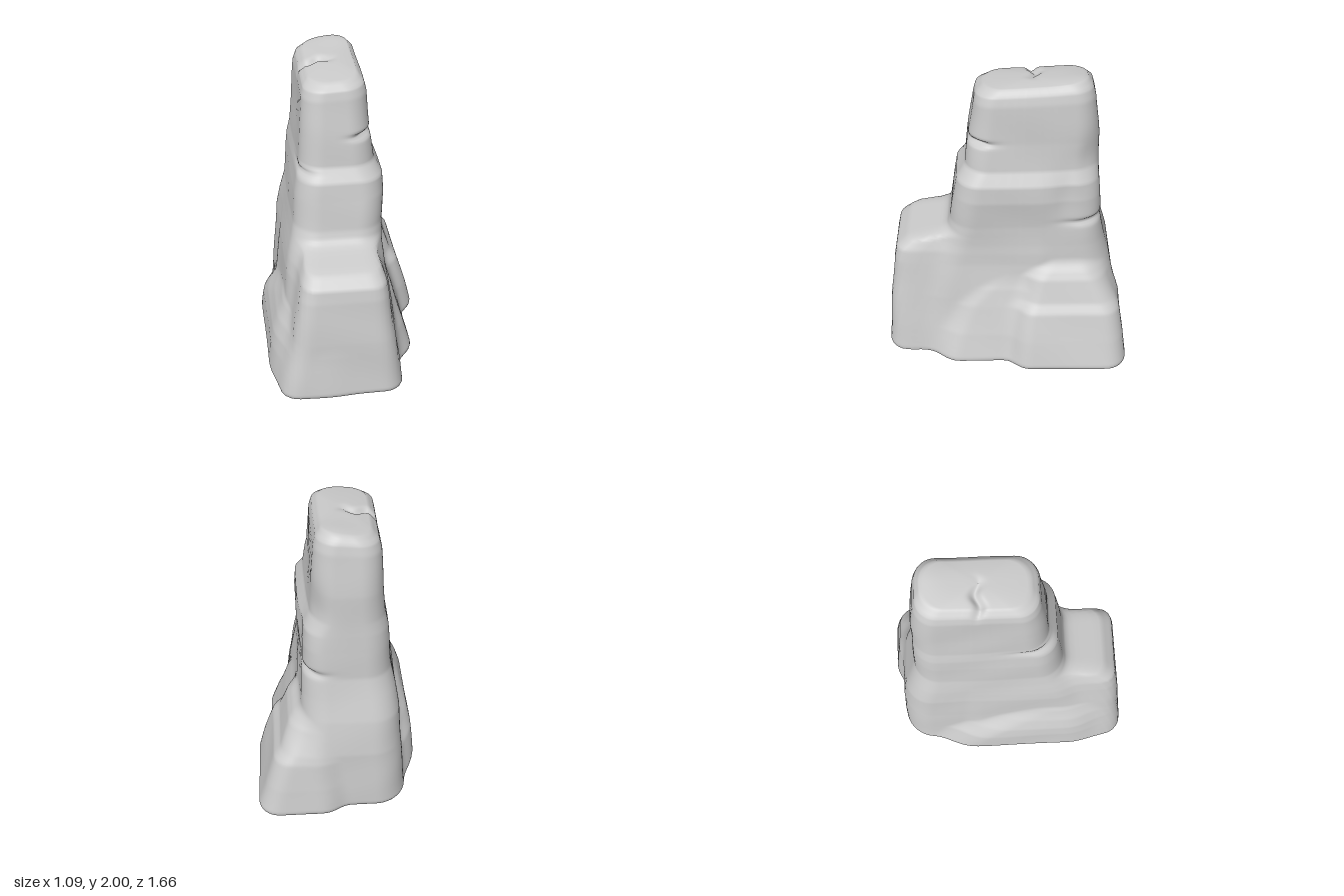
import * as THREE from 'three';

// Each mass is a stack of rounded rectangles: [y, xMin, xMax, zMin, zMax]
const tower = { corner: 0.21, rows: [
  [0, -0.46, 0.35, -0.765, 0.62], [0.45, -0.415, 0.285, -0.745, 0.57], [0.7, -0.40, 0.245, -0.705, 0.49],
  [0.85, -0.375, 0.24, -0.668, 0.43], [1.0, -0.345, 0.24, -0.632, 0.375], [1.2, -0.33, 0.255, -0.62, 0.34],
  [1.32, -0.315, 0.245, -0.615, 0.322], [1.41, -0.295, 0.195, -0.61, 0.265], [1.6, -0.28, 0.17, -0.6, 0.24],
  [1.86, -0.265, 0.15, -0.57, 0.205], [1.92, -0.25, 0.135, -0.555, 0.19], [1.96, -0.21, 0.1, -0.52, 0.14]] };
const frontStep = { corner: 0.13, rows: [
  [0, -0.5, 0.33, -0.3, 0.825], [0.4, -0.41, 0.27, -0.3, 0.79], [0.7, -0.36, 0.225, -0.3, 0.755],
  [0.79, -0.34, 0.21, -0.3, 0.735], [0.86, -0.31, 0.185, -0.3, 0.65], [0.91, -0.28, 0.17, -0.3, 0.43],
  [1.0, -0.2, 0.1, -0.3, 0.2]] };
const leftButtress = { corner: 0.14, rows: [
  [0, -0.02, 0.545, -0.83, -0.03], [0.2, 0, 0.49, -0.805, -0.05], [0.4, 0.03, 0.43, -0.77, -0.08],
  [0.46, 0.05, 0.385, -0.745, -0.11], [0.62, 0.06, 0.325, -0.66, -0.15], [0.67, 0.06, 0.285, -0.62, -0.2],
  [0.74, 0.06, 0.18, -0.55, -0.3]] };
const leftSkirt = { corner: 0.15, rows: [
  [0, 0, 0.45, -0.4, 0.48], [0.2, 0, 0.395, -0.4, 0.42], [0.4, 0, 0.325, -0.4, 0.32],
  [0.52, 0, 0.275, -0.4, 0.2], [0.62, 0, 0.2, -0.4, 0.08]] };
const rightSkirt = { corner: 0.38, rows: [
  [0, -0.55, 0.2, -0.62, 0.8], [0.2, -0.535, 0.2, -0.5, 0.77], [0.3, -0.515, 0.2, -0.36, 0.75],
  [0.4, -0.475, 0.2, -0.18, 0.71], [0.5, -0.41, 0.2, 0.02, 0.63], [0.58, -0.28, 0.1, 0.15, 0.45]] };
const masses = [tower, frontStep, leftButtress, leftSkirt, rightSkirt];

const CX = -0.05, CZ = -0.17, TOP = 1.96;
const bump = (d, w) => Math.exp(-(d * d) / (w * w));

function sectionAt({ rows }, y) {
  if (y > rows[rows.length - 1][0]) return null;
  let i = 0;
  while (i < rows.length - 2 && y > rows[i + 1][0]) i++;
  const t = (y - rows[i][0]) / (rows[i + 1][0] - rows[i][0]);
  return rows[i].map((v, k) => THREE.MathUtils.lerp(v, rows[i + 1][k], t));
}

// Distance to a rounded rectangle, its corners tightening with height
function rectDistance(x, z, [y, x0, x1, z0, z1], corner) {
  const hx = (x1 - x0) / 2, hz = (z1 - z0) / 2, r = Math.min(corner - 0.04 * y, hx, hz);
  const dx = Math.abs(x - (x0 + x1) / 2) - hx + r, dz = Math.abs(z - (z0 + z1) / 2) - hz + r;
  return Math.hypot(Math.max(dx, 0), Math.max(dz, 0)) + Math.min(Math.max(dx, dz), 0) - r;
}

function smoothMin(a, b, k) {
  const h = Math.max(k - Math.abs(a - b), 0) / k;
  return Math.min(a, b) - h * h * k / 4;
}

// Radius of the blended masses in one direction at one height
function radiusAt(sections, y, dx, dz) {
  let r = 1.3;
  for (let n = 0; n < 150; n++) {
    const x = CX + dx * r, z = CZ + dz * r;
    let d = 10;
    for (const [s, corner] of sections) d = smoothMin(d, rectDistance(x, z, s, corner), 0.08);
    if (d < 0.0005) break;
    r -= d * 0.95;
  }
  const x = CX + dx * r, z = CZ + dz * r;
  // Weathered notches and hollows
  r -= 0.055 * bump(y - 1.6, 0.018) * bump(x - 0.16, 0.1) * bump(z - 0.22, 0.12);
  r -= 0.035 * bump(y - 1.03, 0.022) * bump(x - 0.22, 0.12) * bump(z + 0.58, 0.16);
  r -= 0.045 * bump(y - 1.2, 0.2) * bump(x - 0.25, 0.1) * bump(z + 0.45, 0.15);
  r -= 0.04 * bump(y - 1.48, 0.16) * bump(x - 0.18, 0.12) * bump(z + 0.58, 0.16);
  r -= 0.025 * bump(y - 1.37, 0.015) * bump(x + 0.3, 0.1) * bump(z - 0.2, 0.15);
  return r + 0.005 * Math.sin(5 * x + 9 * y) * Math.sin(7 * z - 4 * y);
}

// Tilts the summit, lifts its back edge and cuts the crack across it
function summitY(x, y, z) {
  const s = Math.max(0, (y - 1.5) / 0.46);
  const crack = 0.03 * bump(z + 0.18 + 0.015 * Math.sin(40 * x), 0.03) * THREE.MathUtils.smoothstep(-x, -0.02, 0.15);
  const lift = 0.015 * bump(z + 0.48, 0.12) * bump(x - 0.03, 0.15);
  return y + s * (-(z + 0.17) * 0.05 + (x + 0.05) * 0.06) + s ** 4 * (lift - crack);
}

function createRock() {
  const SEG = 180, LEVELS = 150, CAP = 14;
  const pos = [], index = [];
  const addRing = (pointAt) => {
    for (let j = 0; j < SEG; j++) pos.push(...pointAt(j));
  };
  const stitch = (a, b) => {
    for (let j = 0; j < SEG; j++) {
      const k = (j + 1) % SEG;
      index.push(a + j, a + k, b + j, a + k, b + k, b + j);
    }
  };
  // Walls, rising from the ground
  let rim = [];
  for (let i = 0; i <= LEVELS; i++) {
    const y = TOP * i / LEVELS;
    const sections = masses.map(m => [sectionAt(m, y), m.corner]).filter(s => s[0]);
    rim = [];
    for (let j = 0; j < SEG; j++) {
      const a = -j / SEG * Math.PI * 2, dx = Math.cos(a), dz = Math.sin(a);
      const r = radiusAt(sections, y, dx, dz) - 0.012 * bump(y, 0.012);
      rim.push([CX + dx * r, y, CZ + dz * r]);
    }
    addRing(j => [rim[j][0], summitY(...rim[j]), rim[j][2]]);
    if (i) stitch((i - 1) * SEG, i * SEG);
  }
  // Gently domed summit
  for (let c = 1; c <= CAP; c++) {
    const t = 1 - c / CAP * 0.999;
    addRing(j => {
      const x = CX + (rim[j][0] - CX) * t, z = CZ + (rim[j][2] - CZ) * t;
      return [x, summitY(x, TOP + 0.015 * (1 - t * t), z), z];
    });
    stitch((LEVELS + c - 1) * SEG, (LEVELS + c) * SEG);
  }
  // Flat underside with its own hard edge
  const base = pos.length / 3;
  pos.push(CX, 0, CZ);
  for (let j = 0; j < SEG; j++) {
    pos.push(pos[j * 3], 0, pos[j * 3 + 2]);
    index.push(base, base + 1 + (j + 1) % SEG, base + 1 + j);
  }
  const geometry = new THREE.BufferGeometry();
  geometry.setAttribute('position', new THREE.Float32BufferAttribute(pos, 3));
  geometry.setIndex(index);
  geometry.computeVertexNormals();
  return geometry;
}

export function createModel() {
  const group = new THREE.Group();
  group.name = 'rockOutcrop';
  const rock = new THREE.Mesh(createRock(), new THREE.MeshStandardMaterial({ color: 0xcccccc }));
  rock.name = 'steppedRock';
  group.add(rock);
  return group;
}
